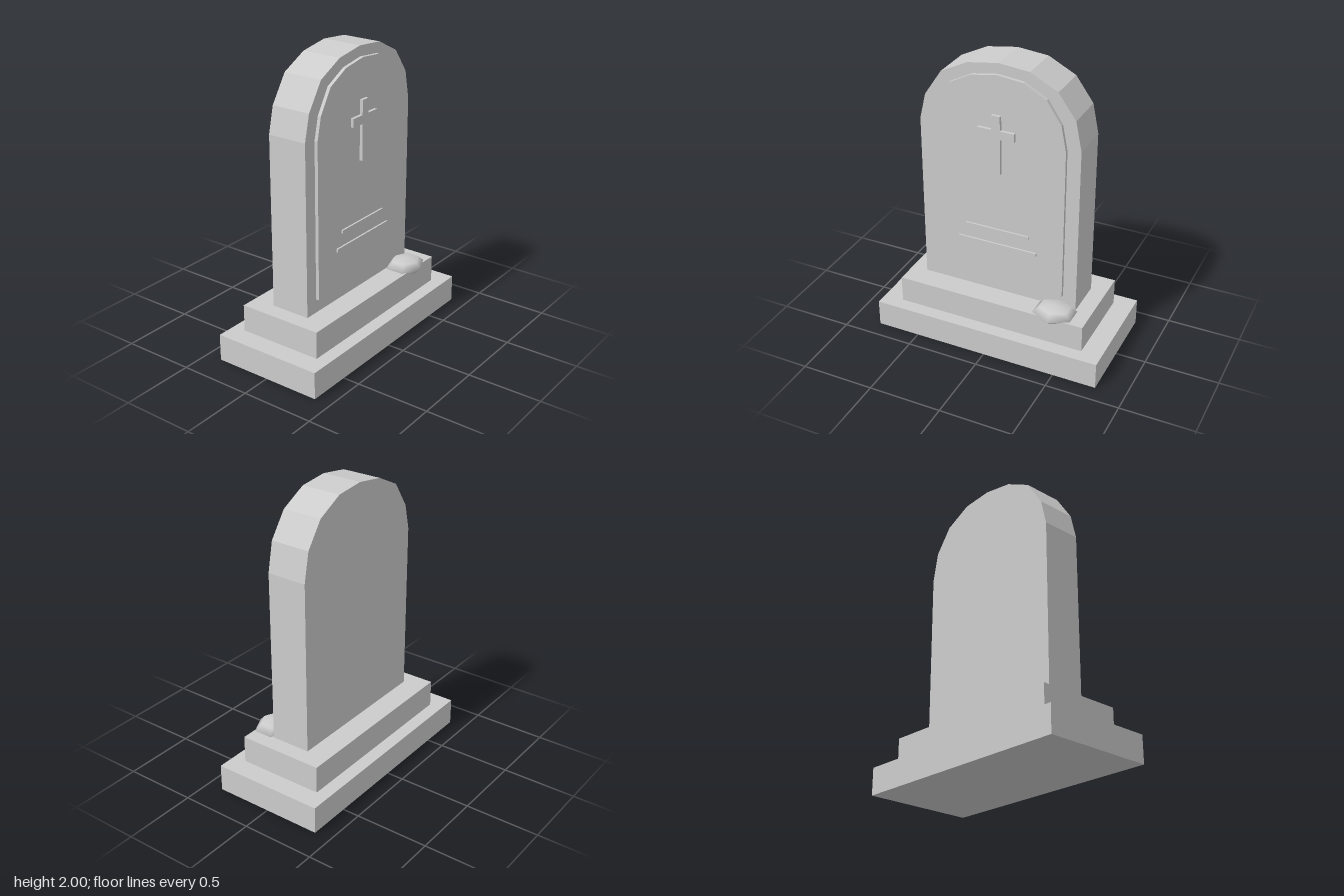
import * as THREE from 'three';

const material = new THREE.MeshStandardMaterial({ color: 0xcccccc, flatShading: true });
const smoothMaterial = new THREE.MeshStandardMaterial({ color: 0xcccccc });

function add(group, name, geometry, x, y, z, mat = material) {
  const mesh = new THREE.Mesh(geometry, mat);
  mesh.name = name;
  mesh.position.set(x, y, z);
  group.add(mesh);
  return mesh;
}

// Box given by its lower and upper y and its back and front z
function block(group, name, width, y0, y1, z0, z1) {
  const geometry = new THREE.BoxGeometry(width, y1 - y0, z1 - z0);
  return add(group, name, geometry, 0, (y0 + y1) / 2, (z0 + z1) / 2);
}

// Arched plate extruded from z0 to z1
function plate(group, name, outline, z0, z1) {
  const shape = new THREE.Shape(outline.map(([x, y]) => new THREE.Vector2(x, y)));
  const geometry = new THREE.ExtrudeGeometry(shape, { depth: z1 - z0, bevelEnabled: false });
  return add(group, name, geometry, 0, 0, z0);
}

export function createModel() {
  const group = new THREE.Group();
  group.name = 'gravestone';

  // Two-stepped plinth
  block(group, 'lowerStep', 1.594, 0, 0.184, -0.385, 0.385);
  block(group, 'upperStep', 1.318, 0.184, 0.368, -0.294, 0.294);

  // Slab with a slightly uneven, faceted arch
  plate(group, 'slab', [
    [-0.548, 0.368], [0.548, 0.368], [0.548, 1.527], [0.508, 1.724], [0.39, 1.887], [0.207, 1.981],
    [0, 2], [-0.207, 1.968], [-0.39, 1.877], [-0.507, 1.7], [-0.548, 1.527],
  ], -0.137, 0.137);

  // Raised front panel
  plate(group, 'panel', [
    [-0.458, 0.461], [0.458, 0.461], [0.458, 1.517], [0.425, 1.685], [0.327, 1.832], [0.175, 1.914],
    [0, 1.931], [-0.175, 1.902], [-0.327, 1.822], [-0.424, 1.666], [-0.458, 1.517],
  ], 0.137, 0.16);

  // Cross as a single relief
  const w = 0.03, a = 0.125;
  plate(group, 'cross', [
    [-w, 1.27], [w, 1.27], [w, 1.515], [a, 1.515], [a, 1.573], [w, 1.573],
    [w, 1.67], [-w, 1.67], [-w, 1.573], [-a, 1.573], [-a, 1.515], [-w, 1.515],
  ], 0.16, 0.181);

  // Raised inscription bars
  block(group, 'upperBar', 0.44, 0.836, 0.859, 0.155, 0.172);
  block(group, 'lowerBar', 0.55, 0.725, 0.748, 0.155, 0.172);

  // Flattened pebble resting on the upper step
  const pebble = new THREE.SphereGeometry(1, 6, 4, Math.PI / 2);
  pebble.scale(0.152, 0.055, 0.126);
  add(group, 'pebble', pebble, 0.436, 0.375, 0.217, smoothMaterial);

  return group;
}
